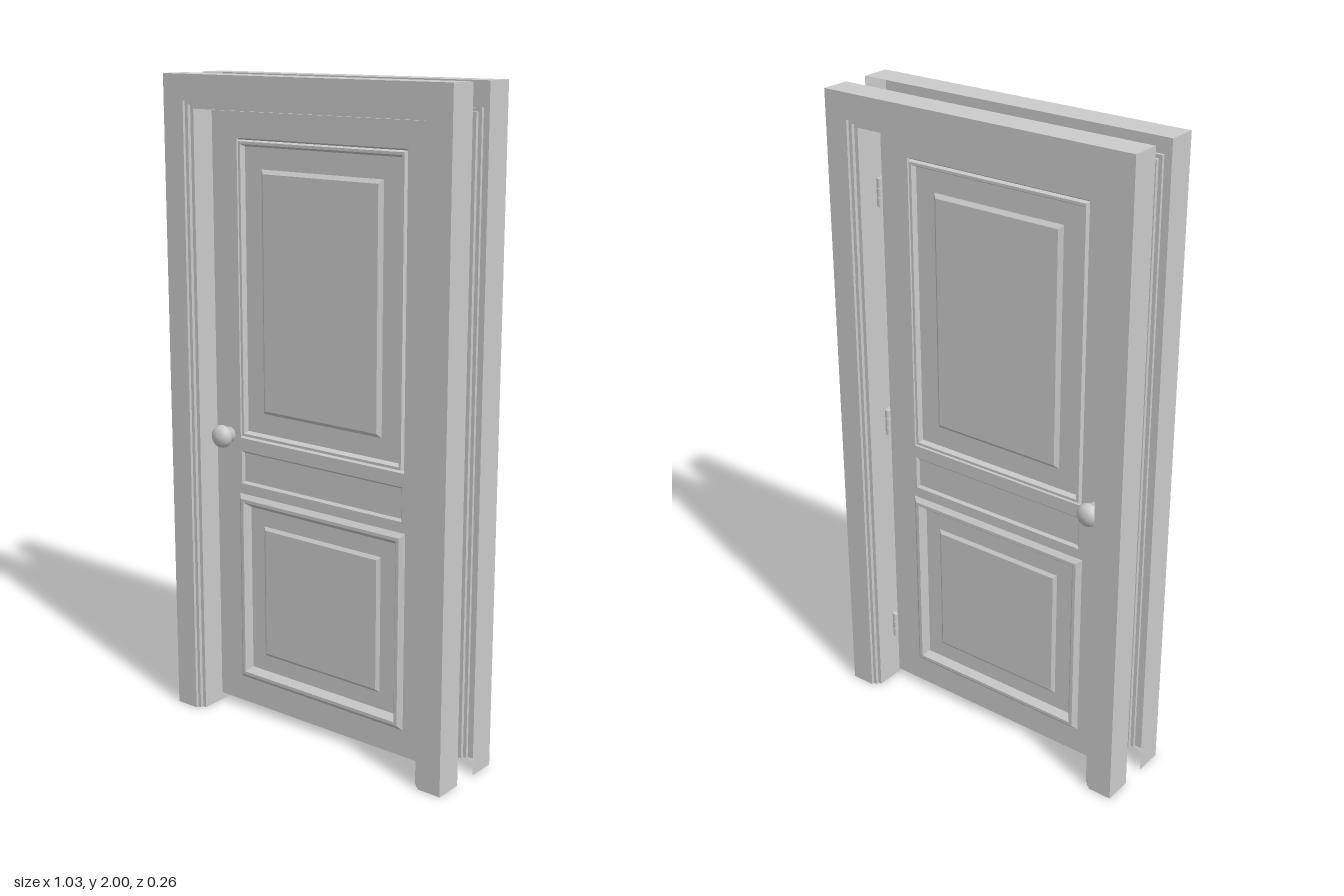
import * as THREE from 'three';

const material = new THREE.MeshStandardMaterial({ color: 0xcccccc, side: THREE.DoubleSide });

function mesh(name, geometry) {
  const m = new THREE.Mesh(geometry, material);
  m.name = name;
  return m;
}

// Joins successive loops of points with flat quads; optionally closes and caps them
function loft(loops, closed, cap) {
  const pos = [];
  const quad = (a, b, c, d) => pos.push(...a, ...b, ...c, ...a, ...c, ...d);
  for (let k = 0; k < loops.length - 1; k++) {
    const A = loops[k], B = loops[k + 1], n = A.length;
    for (let i = 0; i < (closed ? n : n - 1); i++) {
      const j = (i + 1) % n;
      quad(A[i], A[j], B[j], B[i]);
    }
  }
  if (cap) quad(...loops[loops.length - 1]);
  const g = new THREE.BufferGeometry();
  g.setAttribute('position', new THREE.Float32BufferAttribute(pos, 3));
  g.computeVertexNormals();
  return g;
}

// Rectangle [x0, y0, x1, y1] swept through a profile of [inset, z] steps
function relief([x0, y0, x1, y1], profile, cap = true) {
  return loft(profile.map(([d, z]) => [
    [x0 + d, y0 + d, z], [x1 - d, y0 + d, z], [x1 - d, y1 - d, z], [x0 + d, y1 - d, z],
  ]), true, cap);
}

const DOOR = [-0.415, 0.025, 0.401, 1.893];
const CENTER = -0.007;
const FACE = 0.031;

// Panel openings with their moulding profiles, relative to the door face
const PANELS = [
  { name: 'upperPanel', rect: [-0.318, 0.903, 0.304, 1.816],
    profile: [[0, 0], [0.005, -0.008], [0.009, 0.004], [0.017, 0.004], [0.024, -0.01],
      [0.088, -0.01], [0.1, 0]] },
  { name: 'middlePanel', rect: [-0.315, 0.757, 0.297, 0.862],
    profile: [[0, 0], [0.007, -0.008]] },
  { name: 'lowerPanel', rect: [-0.325, 0.109, 0.311, 0.724],
    profile: [[0, 0], [0.014, 0.012], [0.024, 0.012], [0.04, -0.008],
      [0.093, -0.008], [0.103, 0]] },
];

function rectPath(path, [x0, y0, x1, y1]) {
  path.moveTo(x0, y0);
  path.lineTo(x1, y0);
  path.lineTo(x1, y1);
  path.lineTo(x0, y1);
  path.closePath();
  return path;
}

// One face of the door: stiles and rails, mouldings, knob
function doorSide(knobX) {
  const side = new THREE.Group();
  const shape = rectPath(new THREE.Shape(), DOOR);
  for (const p of PANELS) shape.holes.push(rectPath(new THREE.Path(), p.rect));
  side.add(mesh('stilesAndRails', new THREE.ShapeGeometry(shape).translate(0, 0, FACE)));
  for (const p of PANELS) {
    side.add(mesh(p.name, relief(p.rect, p.profile.map(([d, z]) => [d, z + FACE]))));
  }
  const outline = [[0.024, 0], [0.024, 0.004], [0.013, 0.008], [0.013, 0.014], [0.025, 0.018],
    [0.034, 0.027], [0.036, 0.036], [0.032, 0.047], [0.021, 0.055], [0.01, 0.058], [0, 0.059]];
  const knob = mesh('knob', new THREE.LatheGeometry(
    outline.map(([r, h]) => new THREE.Vector2(r, h)), 28));
  knob.rotation.x = Math.PI / 2;
  knob.position.set(knobX, 0.907, FACE);
  side.add(knob);
  return side;
}

export function createModel() {
  const model = new THREE.Group();
  model.name = 'door';

  // Hollow frame: stepped profile of [inset, z] wrapped over both posts and the head
  const half = [[0, 0.04], [0, 0.13], [0.077, 0.13], [0.077, 0.121], [0.088, 0.121],
    [0.088, 0.11], [0.1, 0.11], [0.1, 0]];
  const profile = [...half, ...half.slice(0, -1).reverse().map(([d, z]) => [d, -z])];
  model.add(mesh('frame', loft(profile.map(([d, z]) => {
    const x = 0.515 - d, y = 2 - d;
    return [[-x, 0, z], [-x, y, z], [x, y, z], [x, 0, z]];
  }), false, false)));

  // Door leaf: edges plus two matching faces
  const leaf = new THREE.Group();
  leaf.name = 'leaf';
  leaf.add(mesh('leafEdges', relief(DOOR, [[0, -FACE], [0, FACE]], false)));
  const front = doorSide(-0.364);
  front.name = 'frontFace';
  // The back face is turned about the middle of the leaf; its knob shares the latch side
  const back = doorSide(2 * CENTER + 0.364);
  back.name = 'backFace';
  back.rotation.y = Math.PI;
  back.position.x = 2 * CENTER;
  leaf.add(front, back);
  model.add(leaf);

  // Hinges on the back edge: knuckles and a leaf plate on the jamb
  for (const y of [0.205, 0.955, 1.695]) {
    const hinge = new THREE.Group();
    hinge.name = 'hinge';
    for (let i = -1; i <= 1; i++) {
      const knuckle = mesh('knuckle', new THREE.CylinderGeometry(0.008, 0.008, 0.027, 12));
      knuckle.position.set(0.405, i * 0.029, -0.037);
      hinge.add(knuckle);
    }
    const plate = mesh('hingePlate', new THREE.BoxGeometry(0.004, 0.085, 0.04));
    plate.position.set(0.413, 0, -0.02);
    hinge.add(plate);
    hinge.position.y = y;
    model.add(hinge);
  }
  return model;
}
